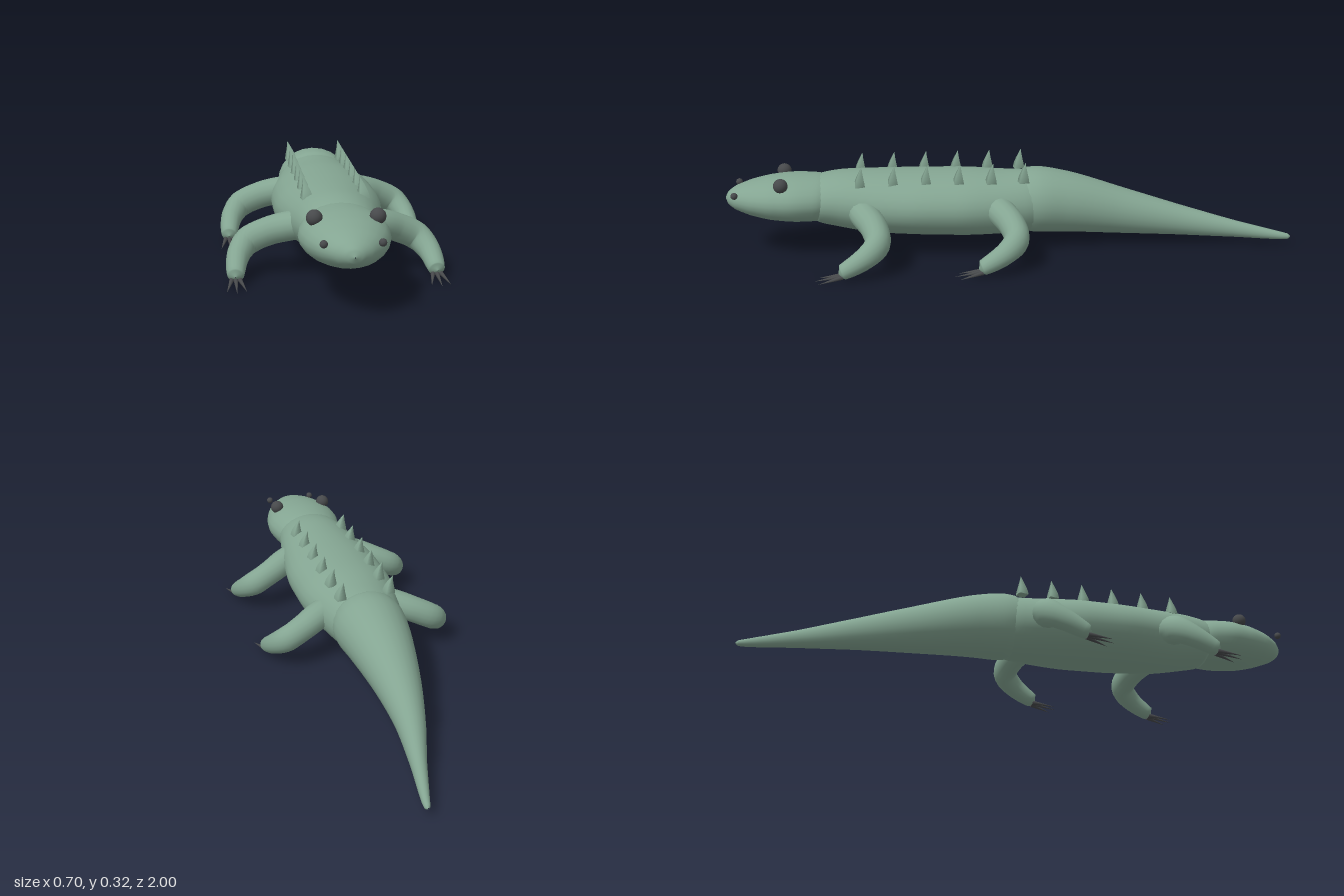
import * as THREE from 'three';

const skin = new THREE.MeshStandardMaterial({ color: 0x84a592 });
skin.name = 'sage green skin';
const dark = new THREE.MeshStandardMaterial({ color: 0x47494b });
dark.name = 'charcoal';

// Smooth elliptical loft through sections [x, y, z, halfWidth, halfHeight]
function loft(sections, sides = 24, steps = 5) {
  const path = new THREE.CatmullRomCurve3(sections.map(s => new THREE.Vector3(s[0], s[1], s[2])));
  const size = new THREE.CatmullRomCurve3(sections.map(s => new THREE.Vector3(s[3], s[4], 0)));
  const rings = (sections.length - 1) * steps;
  const up = new THREE.Vector3(0, 1, 0);
  const pos = [], index = [];
  for (let i = 0; i <= rings; i++) {
    const c = path.getPoint(i / rings), r = size.getPoint(i / rings), t = path.getTangent(i / rings);
    const side = up.clone().cross(t).normalize();
    const top = t.clone().cross(side);
    for (let j = 0; j < sides; j++) {
      const a = (j / sides) * Math.PI * 2;
      const p = c.clone()
        .addScaledVector(side, Math.cos(a) * Math.max(r.x, 0.001))
        .addScaledVector(top, Math.sin(a) * Math.max(r.y, 0.001));
      pos.push(p.x, p.y, p.z);
      if (i < rings) {
        const k = (j + 1) % sides, lo = i * sides, hi = lo + sides;
        index.push(lo + j, lo + k, hi + j, lo + k, hi + k, hi + j);
      }
    }
  }
  const g = new THREE.BufferGeometry();
  g.setAttribute('position', new THREE.Float32BufferAttribute(pos, 3));
  g.setIndex(index);
  g.computeVertexNormals();
  return g;
}

function add(parent, name, geometry, material, x = 0, y = 0, z = 0) {
  const m = new THREE.Mesh(geometry, material);
  m.name = name;
  m.position.set(x, y, z);
  parent.add(m);
  return m;
}

// Claw cone running from one point to another
function addClaw(parent, from, to) {
  const dir = to.clone().sub(from);
  const mid = from.clone().add(to).multiplyScalar(0.5);
  const m = add(parent, 'claw', new THREE.ConeGeometry(0.008, dir.length(), 8), dark, mid.x, mid.y, mid.z);
  m.quaternion.setFromUnitVectors(new THREE.Vector3(0, 1, 0), dir.normalize());
}

// Leg: shoulder, bent elbow, foot and three claws
function addLeg(parent, name, s, dz) {
  const leg = new THREE.Group();
  leg.name = name;
  leg.position.z = dz;
  parent.add(leg);
  add(leg, 'limb', loft([
    [0.07 * s, 0.185, 0.54, 0.002, 0.002],
    [0.09 * s, 0.18, 0.532, 0.05, 0.045],
    [0.14 * s, 0.168, 0.512, 0.052, 0.048],
    [0.21 * s, 0.143, 0.48, 0.047, 0.047],
    [0.275 * s, 0.11, 0.472, 0.043, 0.046],
    [0.308 * s, 0.075, 0.515, 0.037, 0.038],
    [0.32 * s, 0.034, 0.59, 0.027, 0.026],
    [0.321 * s, 0.03, 0.603, 0.002, 0.002],
  ], 16), skin);
  for (const d of [-1, 0, 1]) {
    addClaw(leg, new THREE.Vector3(0.32 * s + d * 0.012, 0.02, 0.59),
      new THREE.Vector3(0.32 * s + d * 0.031, 0.004, d ? 0.67 : 0.685));
  }
}

// Four-sided horn with bulging flanks and a tip swept backwards
function spikeGeometry() {
  const g = new THREE.CylinderGeometry(0.001, 0.024, 0.066, 4, 6);
  const p = g.attributes.position;
  for (let i = 0; i < p.count; i++) {
    const h = p.getY(i) / 0.066 + 0.5;
    const bulge = 1 + 0.7 * h * (1 - h);
    p.setXYZ(i, p.getX(i) * bulge, p.getY(i), p.getZ(i) * bulge - 0.014 * h * h);
  }
  g.rotateY(Math.PI / 4 + 0.15);
  g.computeVertexNormals();
  return g;
}

export function createModel() {
  const model = new THREE.Group();
  model.name = 'lizard';

  // Trunk
  add(model, 'body', loft([
    [0, 0.17, -0.14, 0.002, 0.002],
    [0, 0.168, -0.13, 0.10, 0.085],
    [0, 0.165, -0.06, 0.132, 0.108],
    [0, 0.165, 0.04, 0.155, 0.112],
    [0, 0.17, 0.18, 0.177, 0.115],
    [0, 0.175, 0.32, 0.178, 0.113],
    [0, 0.182, 0.48, 0.158, 0.109],
    [0, 0.193, 0.6, 0.135, 0.098],
    [0, 0.195, 0.68, 0.115, 0.08],
    [0, 0.195, 0.69, 0.002, 0.002],
  ], 28), skin);

  // Head
  add(model, 'head', loft([
    [0, 0.2, 0.625, 0.002, 0.002],
    [0, 0.2, 0.635, 0.10, 0.07],
    [0, 0.2, 0.68, 0.128, 0.081],
    [0, 0.202, 0.76, 0.14, 0.082],
    [0, 0.203, 0.84, 0.128, 0.075],
    [0, 0.204, 0.91, 0.1, 0.06],
    [0, 0.204, 0.965, 0.06, 0.04],
    [0, 0.204, 0.99, 0.028, 0.022],
    [0, 0.204, 1, 0.002, 0.002],
  ], 24), skin);

  // Tail, curving towards the left
  add(model, 'tail', loft([
    [0.12, 0.039, -1, 0.002, 0.002],
    [0.12, 0.039, -0.99, 0.01, 0.01],
    [0.077, 0.06, -0.8, 0.027, 0.031],
    [0.033, 0.086, -0.6, 0.052, 0.056],
    [0.008, 0.118, -0.4, 0.083, 0.083],
    [0, 0.155, -0.2, 0.117, 0.109],
    [0, 0.167, -0.1, 0.13, 0.117],
    [0, 0.17, -0.055, 0.125, 0.112],
    [0, 0.17, -0.035, 0.1, 0.09],
    [0, 0.17, -0.03, 0.002, 0.002],
  ], 24), skin);

  const spike = spikeGeometry();
  for (const s of [1, -1]) {
    const label = s > 0 ? 'left' : 'right';
    addLeg(model, label + 'FrontLeg', s, 0);
    addLeg(model, label + 'HindLeg', s, -0.47);

    // Eye and nostril
    add(model, label + 'Eye', new THREE.SphereGeometry(0.025, 20, 14), dark, 0.095 * s, 0.27, 0.8);
    add(model, label + 'Nostril', new THREE.SphereGeometry(0.012, 14, 10), dark, 0.085 * s, 0.235, 0.96);

    // Row of back spikes
    for (let i = 0; i < 6; i++) {
      add(model, label + 'Spike' + (i + 1), spike, skin, 0.09 * s, 0.292, 0.53 - i * 0.114);
    }
  }
  return model;
}
